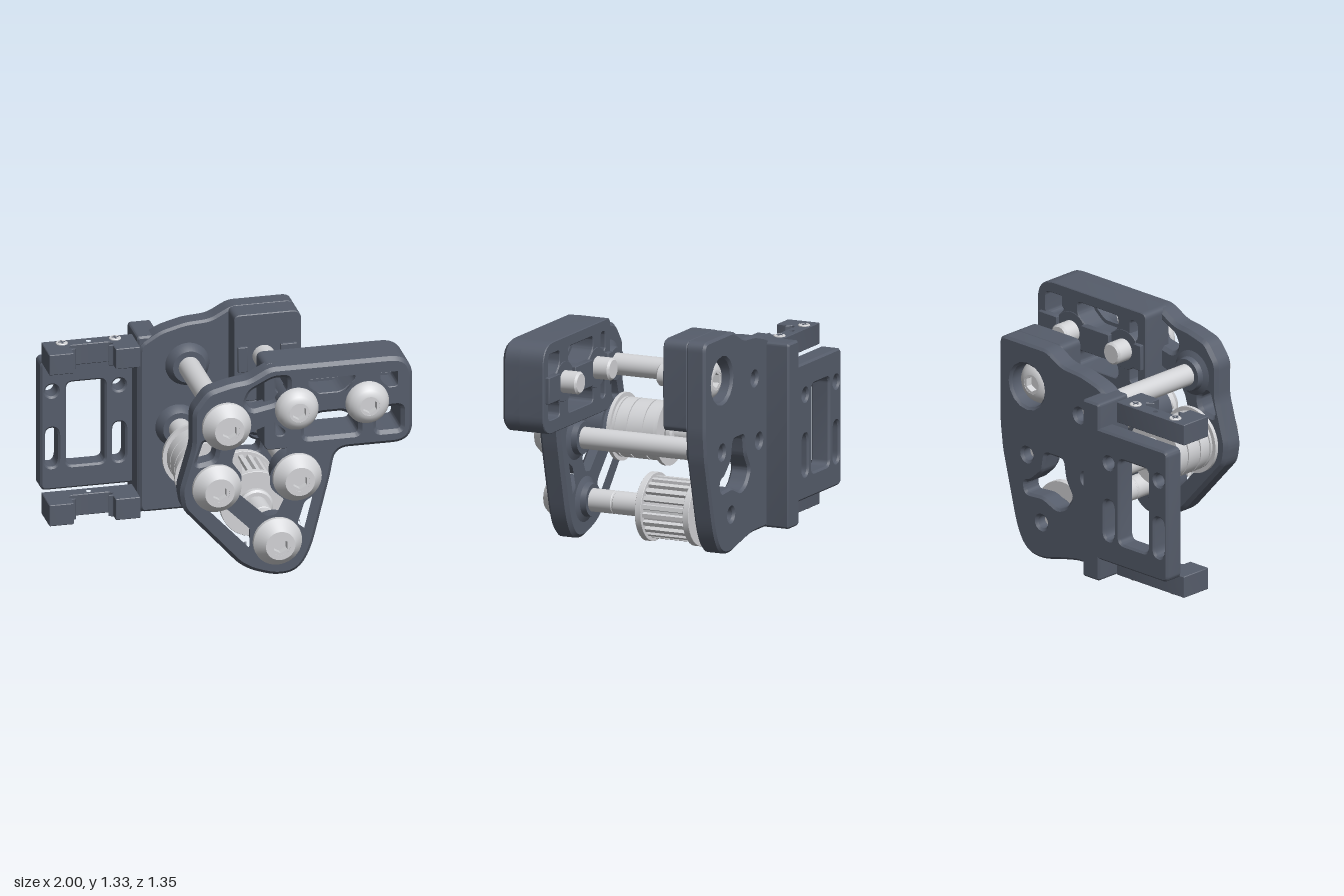
import * as THREE from 'three';
import { toCreasedNormals } from 'three/addons/utils/BufferGeometryUtils.js';

const dark = new THREE.MeshStandardMaterial({ color: 0x565d6b });
dark.name = 'slate plastic';
const steel = new THREE.MeshStandardMaterial({ color: 0xd2d3d6 });
steel.name = 'light steel';

// Polygon with softened corners; a point may carry its own radius as third value
function soften(path, pts, r) {
  const n = pts.length;
  pts.forEach((p, i) => {
    const toward = (q) => {
      const d = Math.hypot(q[0] - p[0], q[1] - p[1]);
      const t = Math.min(p[2] ?? r, d * 0.48) / d;
      return [p[0] + (q[0] - p[0]) * t, p[1] + (q[1] - p[1]) * t];
    };
    const a = toward(pts[(i + n - 1) % n]), b = toward(pts[(i + 1) % n]);
    if (i) path.lineTo(...a); else path.moveTo(...a);
    path.quadraticCurveTo(p[0], p[1], ...b);
  });
  path.closePath();
  return path;
}
const rect = (x0, x1, y0, y1) => [[x0, y0], [x1, y0], [x1, y1], [x0, y1]];
const poly = (pts, r = 0.03) => soften(new THREE.Path(), pts, r);
const round = (x, y, r) => new THREE.Path().absarc(x, y, r, 0, Math.PI * 2, true);

function add(parent, name, geo, mat) {
  const mesh = new THREE.Mesh(toCreasedNormals(geo, 0.55), mat);
  mesh.name = name;
  parent.add(mesh);
  return mesh;
}

// Outline extruded from z0 to z1 with chamfered rims
function plate(parent, name, pts, holes, z0, z1, bevel = 0.02, r = 0.04, mat = dark) {
  const shape = soften(new THREE.Shape(), pts, r);
  shape.holes = holes;
  const geo = new THREE.ExtrudeGeometry(shape, {
    depth: z1 - z0 - 2 * bevel, bevelEnabled: bevel > 0, bevelThickness: bevel,
    bevelSize: bevel, bevelOffset: -bevel, bevelSegments: 1, curveSegments: 8,
  });
  geo.translate(0, 0, z0 + bevel);
  return add(parent, name, geo, mat);
}

// Turned part along z; the profile is [radius, z] with rising z
function turned(parent, name, x, y, profile, mat = steel) {
  const geo = new THREE.LatheGeometry(profile.map((p) => new THREE.Vector2(...p)), 40);
  geo.rotateX(Math.PI / 2);
  const mesh = add(parent, name, geo, mat);
  mesh.position.set(x, y, 0);
  return mesh;
}
const rod = (parent, name, x, y, r, z0, z1, mat = steel, c = 0.012) =>
  turned(parent, name, x, y, [[0, z0], [r - c, z0], [r, z0 + c], [r, z1 - c], [r - c, z1], [0, z1]], mat);

// Bolt head with a hexagonal socket, facing local +z
function boltHead(parent, x, y, z, domed) {
  const g = new THREE.Group();
  g.name = domed ? 'domedBolt' : 'conicalBolt';
  g.position.set(x, y, z);
  const rim = domed
    ? [[0.132, 0], [0.13, 0.02], [0.115, 0.045], [0.095, 0.064], [0.075, 0.075], [0.06, 0.078]]
    : [[0.148, 0], [0.148, 0.025], [0.09, 0.097], [0.06, 0.097]];
  const top = rim[rim.length - 1][1];
  turned(g, 'boltHead', 0, 0, [...rim, [0.06, top - 0.045], [0, top - 0.045]]);
  const ring = new THREE.Shape().absarc(0, 0, 0.061, 0, Math.PI * 2, false);
  const hex = new THREE.Path();
  for (let i = 0; i < 6; i++) {
    const a = (i + 0.5) * Math.PI / 3, p = [0.047 * Math.cos(a), 0.047 * Math.sin(a)];
    if (i) hex.lineTo(...p); else hex.moveTo(...p);
  }
  hex.closePath();
  ring.holes.push(hex);
  const geo = new THREE.ExtrudeGeometry(ring, { depth: 0.043, bevelEnabled: false });
  geo.translate(0, 0, top - 0.045);
  add(g, 'hexSocket', geo, steel);
  parent.add(g);
  return g;
}

export function createModel() {
  const model = new THREE.Group();
  model.name = 'beltTensionerBracket';
  const shafts = [[-0.14, 1.0], [-0.2, 0.61], [0.29, 0.635], [0.17, 0.235]];
  const upperLeft = [[-0.42, 0.6], [-0.34, 0.88], [-0.34, 1.1], [-0.25, 1.22], [-0.1, 1.26], [0, 1.27], [0.13, 1.34]];
  const foot = [[0.52, 0.785], [0.5, 0.62], [0.38, 0.14, 0.12], [0.3, 0.02, 0.1], [0.17, 0, 0.1]];

  // Window corners around the right-hand bolts, mirrored about y = 1.07
  const flip = (pts) => pts.map(([x, y]) => [x, 2.14 - y]);
  const cornerWindow = [[0.78, 1.27], [0.93, 1.27], [0.93, 1.12], [0.85, 1.12], [0.78, 1.19]];
  const midWindow = [[0.34, 1.27], [0.67, 1.27], [0.67, 1.19], [0.58, 1.12], [0.43, 1.12], [0.34, 1.19]];
  const blockWindows = () => [cornerWindow, flip(cornerWindow), midWindow, flip(midWindow)].map((w) => poly(w));

  // Front truss plate and its deep upper block
  plate(model, 'frontPlate',
    [...upperLeft, [1, 1.34, 0.14], [1, 0.785, 0.12], [0.53, 0.785, 0.08], ...foot.slice(1),
      [0.02, 0.05], [-0.06, 0.1], [-0.4, 0.48]],
    [...blockWindows(),
      poly([[0.24, 1.27], [0.15, 1.27], [0.01, 1.2], [-0.02, 1.13], [0.02, 1.08], [0.17, 1.11], [0.24, 1.18]]),
      poly([[-0.03, 0.95], [0.16, 1.02], [0.25, 0.94], [0.25, 0.77], [0.15, 0.67], [0.15, 0.58], [0.24, 0.5],
        [0.18, 0.38], [0.1, 0.37], [-0.1, 0.56], [-0.06, 0.66], [-0.13, 0.76], [-0.1, 0.86]]),
      poly([[-0.32, 0.76], [-0.21, 0.78], [-0.19, 0.86], [-0.27, 0.91]]),
      poly([[-0.28, 0.47], [-0.13, 0.49], [0.03, 0.33], [0.02, 0.15]]),
      poly([[0.32, 0.48], [0.42, 0.54], [0.35, 0.26], [0.27, 0.32]])],
    0.437, 0.575, 0.022);
  plate(model, 'frontBlock', [[0.11, 0.785], [1, 0.785, 0.12], [1, 1.34, 0.14], [0.11, 1.34]],
    [...blockWindows(), poly(rect(0.18, 0.24, 1.15, 1.27)), poly(rect(0.18, 0.24, 0.87, 0.99))],
    0.3, 0.5, 0.005);
  for (const [x0, x1] of [[0.13, 0.19], [0.39, 0.62], [0.82, 0.97]])
    plate(model, 'frontBlockPad', rect(x0, x1, 0.98, 1.14), [], 0.275, 0.32, 0.004, 0.005);

  // Back plate with its socketed upper block
  plate(model, 'backPlate',
    [[-0.43, 0.07], [-0.12, 0.07], [0.02, 0.04], ...foot.slice().reverse(),
      [0.52, 1.34, 0.06], [0.13, 1.34], [0, 1.27], [-0.15, 1.26], [-0.3, 1.22], [-0.43, 1.14]],
    [round(0.29, 1.07, 0.135), ...shafts.map(([x, y]) => round(x, y, 0.04)),
      poly([[0.0, 0.68], [0.14, 0.68], [0.16, 0.56], [0.26, 0.47], [0.31, 0.46], [0.3, 0.39],
        [0.16, 0.4], [0.04, 0.35], [-0.03, 0.38], [-0.08, 0.46], [-0.02, 0.56]])],
    -0.53, -0.4, 0.015);
  plate(model, 'backBlock', [[0.11, 0.785], [0.52, 0.785], [0.52, 1.34, 0.06], [0.11, 1.34]], [], -0.41, -0.255, 0.005);
  for (const [x0, x1] of [[0.13, 0.19], [0.39, 0.49]])
    plate(model, 'backBlockPad', rect(x0, x1, 0.98, 1.14), [], -0.28, -0.235, 0.004, 0.005);

  // Side mounting plate and the rib joining it
  const mountHoles = [poly(rect(-0.84, -0.605, 0.35, 0.885), 0.04)];
  for (const x of [-0.93, -0.52]) {
    mountHoles.push(round(x, 0.84, 0.038));
    mountHoles.push(poly(rect(x - 0.04, x + 0.04, 0.35, 0.6), 0.06));
  }
  plate(model, 'mountPlate', rect(-1, -0.4, 0.205, 1.035), mountHoles, -0.675, -0.55, 0.012);
  plate(model, 'mountRib', rect(-0.44, -0.3, 0.065, 1.19), [], -0.675, -0.42, 0.012, 0.02);

  // Clips above and below the mounting plate, with screws on their outer faces
  const half = [[-1, -0.53], [-1, -0.32], [-0.85, -0.32], [-0.85, -0.38], [-0.82, -0.39], [-0.86, -0.42], [-0.84, -0.445]];
  const clipOutline = [...half, ...half.map(([x, z]) => [-1.445 - x, z]).reverse()];
  for (const [y0, y1, up] of [[1.04, 1.17, 1], [0.07, 0.205, -1]]) {
    const clip = plate(model, 'beltClip', clipOutline, [round(-0.7225, -0.485, 0.02)], 0, y1 - y0, 0.004, 0.006);
    clip.rotation.x = Math.PI / 2;
    clip.position.y = y1;
    for (const x of [-0.885, -0.56]) {
      const screw = new THREE.Group();
      screw.name = 'clipScrew';
      screw.position.set(x, up > 0 ? y1 : y0, -0.485);
      screw.rotation.x = -up * Math.PI / 2;
      rod(screw, 'screwHead', 0, 0, 0.036, -0.01, 0.008, steel, 0.004);
      for (const a of [0, Math.PI / 2])
        add(screw, 'screwSlot', new THREE.BoxGeometry(0.042, 0.01, 0.004).rotateZ(a).translate(0, 0, 0.008), dark);
      model.add(screw);
    }
  }

  // Shafts, their bosses on both plates, and the conical bolts
  for (const [x, y] of shafts) {
    rod(model, 'shaft', x, y, 0.066, -0.46, 0.5);
    turned(model, 'frontBoss', x, y, [[0, 0.385], [0.098, 0.385], [0.105, 0.42], [0.138, 0.437], [0.138, 0.572], [0, 0.572]], dark);
    turned(model, 'backBoss', x, y, [[0, -0.41], [0.138, -0.41], [0.128, -0.38], [0.1, -0.345], [0, -0.345]], dark);
    boltHead(model, x, y, 0.574, false);
  }

  // Domed bolts through the blocks, with protruding ends
  for (const x of [0.29, 0.72]) {
    rod(model, 'boltBoss', x, 1.07, 0.125, 0.298, 0.572, dark, 0.004);
    rod(model, 'boltEnd', x, 1.07, 0.068, 0.19, 0.31);
    boltHead(model, x, 1.07, 0.574, true);
  }
  rod(model, 'backBoltEnd', 0.29, 1.07, 0.068, -0.27, -0.12);
  boltHead(model, 0.29, 1.07, -0.415, true).rotation.y = Math.PI;

  // Smooth idler: flanged body with grooves, plus a spacer collar
  const idler = [[0, 0.05], [0.205, 0.05], [0.205, 0.073], [0.18, 0.073]];
  for (const z of [0.155, 0.26, 0.34]) idler.push([0.18, z - 0.004], [0.17, z - 0.004], [0.17, z + 0.004], [0.18, z + 0.004]);
  idler.push([0.18, 0.36], [0.205, 0.36], [0.205, 0.383], [0, 0.383]);
  turned(model, 'idlerPulley', -0.2, 0.61, idler);
  rod(model, 'idlerCollar', -0.2, 0.61, 0.105, 0, 0.05);

  // Toothed pulley between two flanges, plus spacers on its shaft
  const teeth = new THREE.Shape(), count = 22;
  for (let i = 0; i < count; i++)
    [[0.165, 0], [0.165, 0.3], [0.187, 0.42], [0.187, 0.88]].forEach(([r, f], j) => {
      const a = (i + f) / count * Math.PI * 2;
      teeth[i || j ? 'lineTo' : 'moveTo'](r * Math.cos(a), r * Math.sin(a));
    });
  const gear = add(model, 'toothedPulley', new THREE.ExtrudeGeometry(teeth, { depth: 0.33, bevelEnabled: false }), steel);
  gear.position.set(0.17, 0.235, -0.34);
  for (const z of [-0.35, -0.033]) rod(model, 'pulleyFlange', 0.17, 0.235, 0.207, z, z + 0.04, steel, 0.002);
  rod(model, 'pulleyCollar', 0.17, 0.235, 0.105, 0.008, 0.06);
  for (const [z0, z1] of [[0.05, 0.228], [0.232, 0.4]]) rod(model, 'shaftSpacer', 0.17, 0.235, 0.07, z0, z1, steel, 0.006);
  return model;
}
